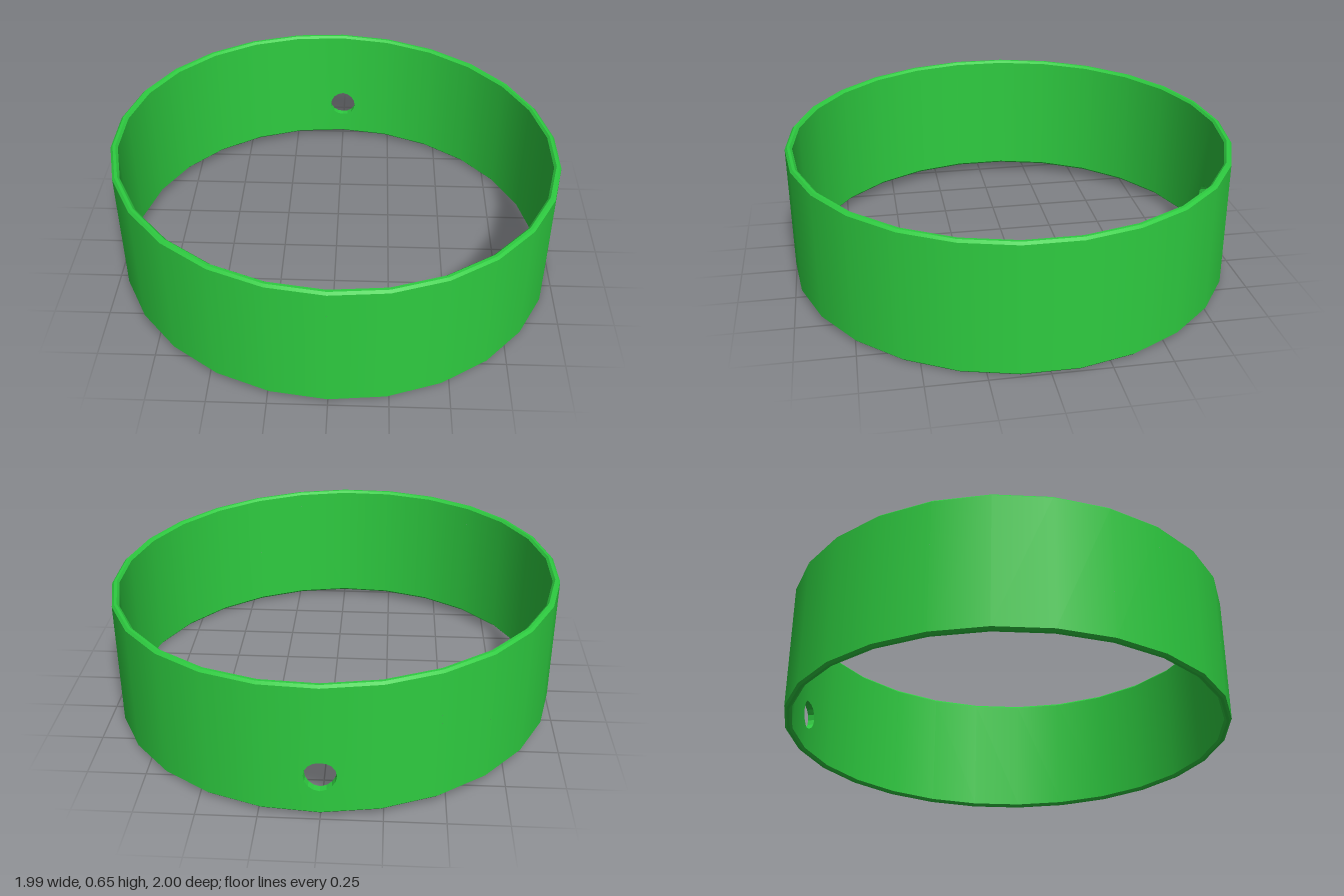
import * as THREE from 'three';
import { mergeGeometries } from 'three/addons/utils/BufferGeometryUtils.js';

const SIDES = 26, OUTER = 1, INNER = 0.968, CHAMFER = 0.01;
const HOLE = { side: SIDES / 2, y: 0.205, radius: 0.067, steps: 16 };
const CHORD = 2 * Math.sin(Math.PI / SIDES);

// The band is level at first (y 0.026 to 0.618), then both rims are sloped along x.
const LOW = 0.026, HIGH = 0.618;
const slope = (x, y) => y - x * THREE.MathUtils.lerp(0.026, 0.031, (y - LOW) / (HIGH - LOW));

// Point on the many-sided ring; s counts sides around it
function ringPoint(s, y, r) {
  const i = Math.floor(s), f = s - i, step = 2 * Math.PI / SIDES;
  const x = r * THREE.MathUtils.lerp(Math.sin(i * step), Math.sin((i + 1) * step), f);
  const z = r * THREE.MathUtils.lerp(Math.cos(i * step), Math.cos((i + 1) * step), f);
  return new THREE.Vector3(x, slope(x, y), z);
}

// Half of the round hole, bulging towards dir, from bottom to top
function halfHole(dir) {
  const pts = [], n = HOLE.steps / 2;
  for (let k = 0; k <= n; k++) {
    const a = -Math.PI / 2 + Math.PI * k / n;
    pts.push(new THREE.Vector2(HOLE.side + dir * Math.cos(a) * HOLE.radius / CHORD,
      HOLE.y + Math.sin(a) * HOLE.radius));
  }
  return pts;
}

// One face of the wall, panel by panel, with the hole cut at a corner between two panels
function wallGeometry(r, inward) {
  const panels = [], y0 = LOW + CHAMFER, y1 = HIGH - CHAMFER;
  for (let i = 0; i < SIDES; i++) {
    const v = (s, y) => new THREE.Vector2(s, y);
    const pts = [v(i, y0), v(i + 1, y0)];
    if (i === HOLE.side - 1) pts.push(...halfHole(-1));
    pts.push(v(i + 1, y1), v(i, y1));
    if (i === HOLE.side) pts.push(...halfHole(1).reverse());
    const geo = new THREE.ShapeGeometry(new THREE.Shape(pts));
    const pos = geo.attributes.position, nor = geo.attributes.normal;
    for (let k = 0; k < pos.count; k++) {
      const s = pos.getX(k), p = ringPoint(Math.min(s, i + 0.99999), pos.getY(k), r);
      const a = s * 2 * Math.PI / SIDES, d = inward ? -1 : 1;
      pos.setXYZ(k, p.x, p.y, p.z);
      nor.setXYZ(k, d * Math.sin(a), 0, d * Math.cos(a));
    }
    if (inward) geo.index.array.reverse();
    panels.push(geo);
  }
  return mergeGeometries(panels);
}

// Chamfered rim, one crisp strip per profile edge
function rimGeometry(profile) {
  const strips = [];
  for (let k = 0; k + 1 < profile.length; k++) {
    const pts = [profile[k], profile[k + 1]].map(([r, y]) => new THREE.Vector2(r, y));
    const geo = new THREE.LatheGeometry(pts, SIDES), pos = geo.attributes.position;
    for (let j = 0; j < pos.count; j++) pos.setY(j, slope(pos.getX(j), pos.getY(j)));
    strips.push(geo);
  }
  return mergeGeometries(strips);
}

// Lining of the hole through the wall thickness
function holeGeometry() {
  const loop = [...halfHole(1), ...halfHole(-1).reverse().slice(1)];
  const pts = [];
  for (let k = 0; k + 1 < loop.length; k++) {
    const [a, b] = [loop[k], loop[k + 1]];
    const oa = ringPoint(a.x, a.y, OUTER), ob = ringPoint(b.x, b.y, OUTER);
    const ia = ringPoint(a.x, a.y, INNER), ib = ringPoint(b.x, b.y, INNER);
    pts.push(oa, ob, ib, oa, ib, ia);
  }
  const geo = new THREE.BufferGeometry().setFromPoints(pts);
  geo.computeVertexNormals();
  return geo;
}

export function createModel() {
  const group = new THREE.Group();
  group.name = 'slopedRing';
  const material = new THREE.MeshStandardMaterial({ color: 0x2ecc40 });
  const add = (name, geo) => {
    const mesh = new THREE.Mesh(geo, material);
    mesh.name = name;
    group.add(mesh);
  };
  const c = CHAMFER;
  add('outerWall', wallGeometry(OUTER, false));
  add('innerWall', wallGeometry(INNER, true));
  add('topRim', rimGeometry([[OUTER, HIGH - c], [OUTER - c, HIGH], [INNER + c, HIGH], [INNER, HIGH - c]]));
  add('bottomRim', rimGeometry([[INNER, LOW + c], [INNER + c, LOW], [OUTER - c, LOW], [OUTER, LOW + c]]));
  add('holeLining', holeGeometry());
  return group;
}
